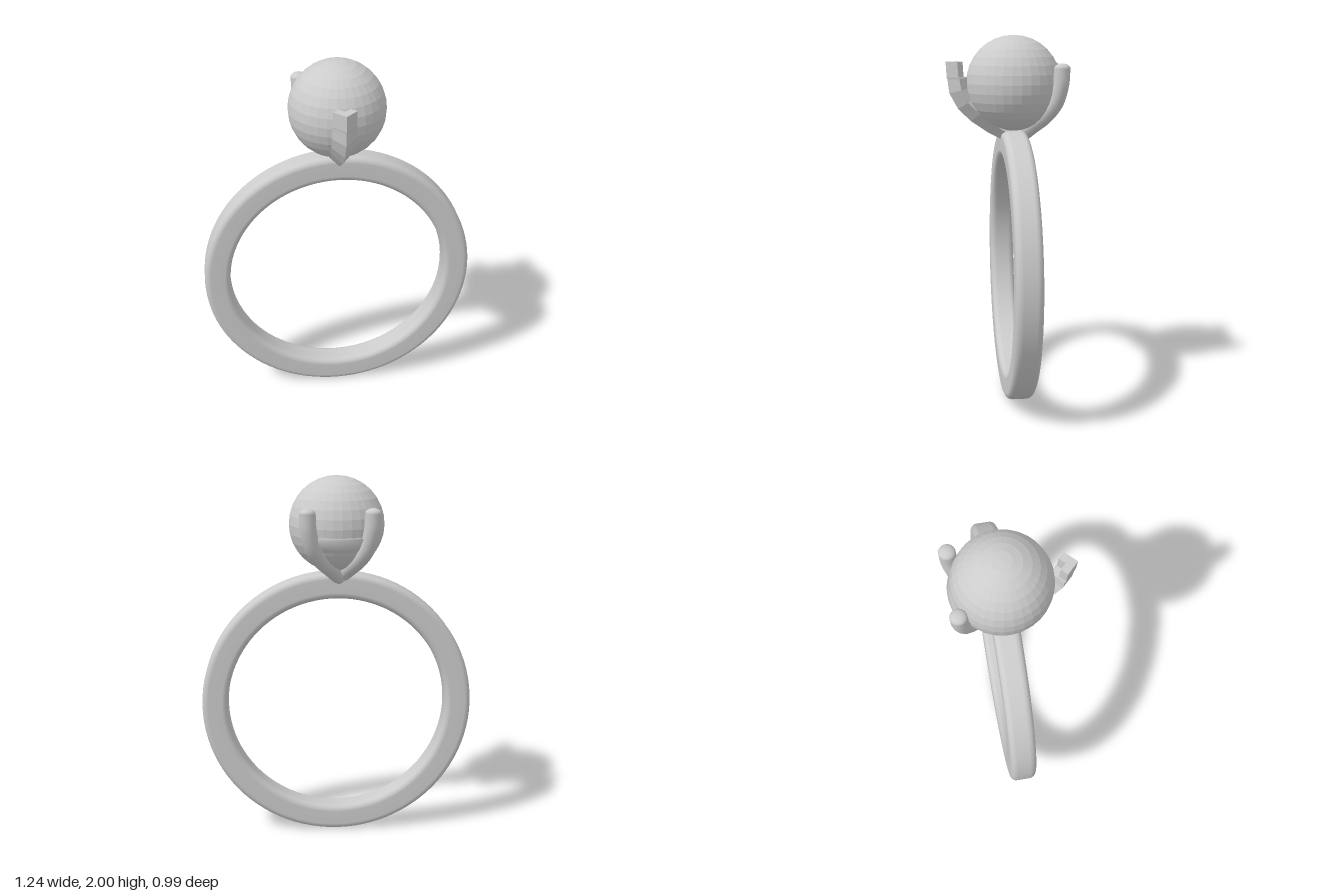
import * as THREE from 'three';

const grey = (opts = {}) => new THREE.MeshStandardMaterial({ color: 0xcccccc, ...opts });

function part(name, geometry, material) {
  const mesh = new THREE.Mesh(geometry, material);
  mesh.name = name;
  return mesh;
}

// Band: rounded square section revolved about the ring's axis
function makeBand() {
  const inner = 0.603, outer = 0.745, half = 0.07, r = 0.033;
  const points = [];
  const corners = [[outer - r, half - r, 0], [inner + r, half - r, 1], [inner + r, r - half, 2], [outer - r, r - half, 3]];
  for (const [cx, cy, quarter] of corners) {
    for (let i = 0; i <= 5; i++) {
      const a = (quarter + i / 5) * Math.PI / 2;
      points.push(new THREE.Vector2(cx + r * Math.cos(a), cy + r * Math.sin(a)));
    }
  }
  points.push(points[0].clone());
  const geometry = new THREE.LatheGeometry(points, 96);
  geometry.rotateX(Math.PI / 2);
  const band = part('band', geometry, grey());
  band.position.y = 0.745;
  band.rotation.y = -0.656;
  return band;
}

// Round prong: curved tube with a domed tip
function makeRoundProng(name, tipX, tipZ, footX, footZ) {
  const group = new THREE.Group();
  group.name = name;
  const steps = [[1, 1.83], [0.97, 1.74], [0.84, 1.645], [0.6, 1.575], [0.3, 1.52], [0, 1.465]];
  const path = new THREE.CatmullRomCurve3(steps.map(([t, y]) => new THREE.Vector3(
    THREE.MathUtils.lerp(footX, tipX, t), y, THREE.MathUtils.lerp(footZ, tipZ, t))));
  group.add(part('prongStem', new THREE.TubeGeometry(path, 32, 0.043, 16), grey()));
  const tip = part('prongTip', new THREE.SphereGeometry(0.043, 16, 10), grey());
  tip.scale.y = 0.6;
  tip.position.set(tipX, 1.828, tipZ);
  group.add(tip);
  return group;
}

// Square prong: swept square section, its inner corner notched at the top
function makeSquareProng() {
  // radius from centre, height, tilt, half width, notch corner (-1 = full square)
  const sections = [
    [0.305, 1.86, 1.57, 0.042, 0], [0.3, 1.78, 1.5, 0.042, 0], [0.295, 1.77, 1.5, 0.043, -1],
    [0.285, 1.71, 1.3, 0.045, -1], [0.25, 1.645, 0.95, 0.044, -1], [0.19, 1.585, 0.75, 0.042, -1],
    [0.11, 1.525, 0.65, 0.038, -1], [0.03, 1.475, 0.6, 0.032, -1],
  ];
  const ex = -0.61, ez = 0.79;
  const position = [], index = [];
  for (const [radius, y, tilt, h, n] of sections) {
    for (const [p, q] of [[1, 1], [-1, 1], [-1, 0], [n, n], [0, -1], [1, -1]]) {
      const u = (p + q) * h / Math.SQRT2, v = (p - q) * h / Math.SQRT2;
      const out = radius + u * Math.sin(tilt);
      position.push(out * ex + v * ez, y - u * Math.cos(tilt), out * ez - v * ex);
    }
  }
  for (let s = 0; s < sections.length - 1; s++) {
    for (let i = 0; i < 6; i++) {
      const a = s * 6 + i, b = s * 6 + (i + 1) % 6;
      index.push(a, b, a + 6, b, b + 6, a + 6);
    }
  }
  const last = (sections.length - 1) * 6;
  for (let i = 1; i < 5; i++) index.push(0, i + 1, i, last, last + i, last + i + 1);
  const geometry = new THREE.BufferGeometry();
  geometry.setAttribute('position', new THREE.Float32BufferAttribute(position, 3));
  geometry.setIndex(index);
  geometry.computeVertexNormals();
  return part('squareProng', geometry, grey({ flatShading: true, side: THREE.DoubleSide }));
}

// Web: narrow curved strip joining the two round prongs
function makeWeb() {
  const profile = [[0.2, 1.605], [0.236, 1.635], [0.268, 1.695], [0.24, 1.705]].map(([r, y]) => new THREE.Vector2(r, y));
  const start = THREE.MathUtils.degToRad(108), sweep = THREE.MathUtils.degToRad(72);
  return part('prongWeb', new THREE.LatheGeometry(profile, 16, start, sweep), grey({ side: THREE.DoubleSide }));
}

export function createModel() {
  const model = new THREE.Group();
  model.name = 'pearlRing';
  model.add(makeBand());

  // Pearl
  const pearl = part('pearl', new THREE.SphereGeometry(0.255, 32, 16), grey({ flatShading: true }));
  pearl.position.y = 1.745;
  model.add(pearl);

  // Setting
  model.add(makeRoundProng('leftProng', 0.274, -0.09, 0.015, -0.045));
  model.add(makeRoundProng('backProng', 0.005, -0.292, 0.005, -0.03));
  model.add(makeSquareProng(), makeWeb());
  return model;
}
